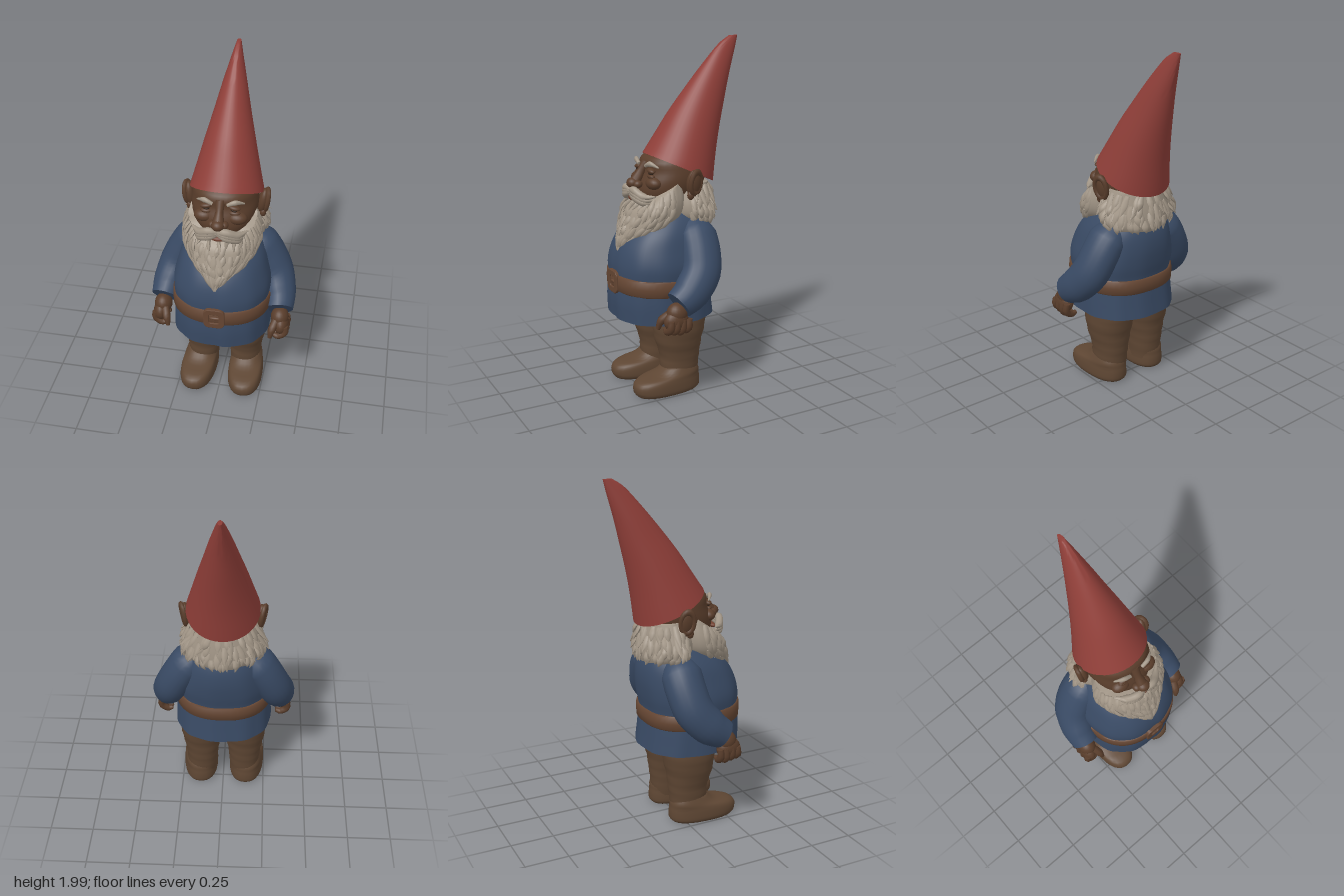
import * as THREE from 'three';
import { mergeGeometries, toCreasedNormals } from 'three/addons/utils/BufferGeometryUtils.js';

const V = (x, y, z) => new THREE.Vector3(x, y, z);
const material = (name, color) => Object.assign(new THREE.MeshStandardMaterial({ color }), { name });

// Closed skin over a stack of rings, with a fan at both ends
function skin(rings) {
  const n = rings[0].length, m = rings.length, pos = [], idx = [];
  rings.flat().forEach(p => pos.push(p.x, p.y, p.z));
  for (let i = 0; i < m - 1; i++) for (let j = 0; j < n; j++) {
    const a = i * n + j, b = i * n + (j + 1) % n;
    idx.push(a, b, b + n, a, b + n, a + n);
  }
  [0, m - 1].forEach((r, k) => {
    const c = V(0, 0, 0);
    rings[r].forEach(p => c.addScaledVector(p, 1 / n));
    pos.push(c.x, c.y, c.z);
    for (let j = 0; j < n; j++) {
      const a = r * n + j, b = r * n + (j + 1) % n;
      idx.push(m * n + k, ...(k ? [a, b] : [b, a]));
    }
  });
  const g = new THREE.BufferGeometry();
  g.setAttribute('position', new THREE.Float32BufferAttribute(pos, 3));
  g.setIndex(idx);
  return toCreasedNormals(g, 1);
}

// Surface through sections [frontZ, frontY, backZ, backY, halfWidth], listed upwards;
// angle 0 is the front and grows towards +x
function surface(sections, power = 2, cx = 0) {
  const front = new THREE.CatmullRomCurve3(sections.map(s => V(s[4], s[1], s[0])), false, 'catmullrom');
  const back = new THREE.CatmullRomCurve3(sections.map(s => V(0, s[3], s[2])), false, 'catmullrom');
  const round = v => Math.sign(v) * Math.abs(v) ** (2 / power);
  return (t, a, out = 1) => {
    const f = front.getPoint(t), b = back.getPoint(t), c = round(Math.cos(a)) * out;
    return V(cx + f.x * round(Math.sin(a)) * out,
      (f.y + b.y) / 2 + (f.y - b.y) / 2 * c, (f.z + b.z) / 2 + (f.z - b.z) / 2 * c);
  };
}
function loft(surf, steps = 20, sides = 36, fold = () => 1) {
  return skin(Array.from({ length: steps + 1 }, (_, i) => Array.from({ length: sides }, (_, j) => {
    const a = j / sides * Math.PI * 2;
    return surf(i / steps, a, fold(a, i / steps));
  })));
}

// Tapered tube through points [x, y, z, halfWidth, halfThickness]
function limb(points, out = V(0, 0, 1), steps = 12, sides = 12) {
  const curve = new THREE.CatmullRomCurve3(points.map(p => V(p[0], p[1], p[2])), false, 'catmullrom');
  const rings = [];
  for (let i = 0; i <= steps; i++) {
    const t = i / steps, k = Math.min(Math.floor(t * (points.length - 1)), points.length - 2);
    const f = t * (points.length - 1) - k;
    const w = THREE.MathUtils.lerp(points[k][3], points[k + 1][3], f);
    const h = THREE.MathUtils.lerp(points[k][4], points[k + 1][4], f);
    const T = curve.getTangent(t), U = V(0, 0, 0).crossVectors(out, T).normalize();
    const N = V(0, 0, 0).crossVectors(T, U), c = curve.getPoint(t);
    rings.push(Array.from({ length: sides }, (_, j) => {
      const a = j / sides * Math.PI * 2;
      return c.clone().addScaledVector(U, Math.cos(a) * w).addScaledVector(N, Math.sin(a) * h);
    }));
  }
  return skin(rings);
}

const ball = (x, y, z, rx, ry, rz, tilt = 0) =>
  new THREE.SphereGeometry(1, 20, 14).scale(rx, ry, rz).rotateZ(tilt).translate(x, y, z);

let seed = 7;
const rand = () => (seed = (seed * 16807) % 2147483647) / 2147483647;

// Rows of pointed locks lying on a surface and running down it
function locks(surf, rows, count, from, to, length, flare, width) {
  const list = [];
  for (const t0 of rows) for (let i = 0; i < count; i++) {
    const a = THREE.MathUtils.lerp(from, to, (i + rand() * 0.8) / count), da = (rand() - 0.5) * 0.2;
    const len = length * (0.7 + rand() * 0.6);
    const p = [0, 0.5, 1].map(k => surf(Math.max(0, t0 - len * k), a + da * k, 0.98 + flare * k * (0.4 + rand() * 0.8)));
    const out = p[0].clone().sub(surf(t0, a, 0.5)).normalize();
    list.push(limb(p.map((q, k) => [q.x, q.y, q.z, [0.7, 1, 0.06][k] * width, [0.5, 0.6, 0.06][k] * width]), out, 5, 6));
  }
  return mergeGeometries(list);
}

// Rounded rectangle outline
function roundRect(path, w, h, r) {
  [[w - r, h - r], [r - w, h - r], [r - w, r - h], [w - r, r - h]].forEach(([x, y], i) =>
    path.absarc(x, y, r, i * Math.PI / 2, (i + 1) * Math.PI / 2));
  return path.closePath();
}

export function createModel() {
  const model = new THREE.Group();
  const red = material('red felt', 0x8e3e38), blue = material('blue cloth', 0x394a64);
  const brown = material('brown trousers', 0x5e4633), leather = material('belt leather', 0x644532);
  const flesh = material('skin', 0x593d2b), white = material('grey hair', 0xa19586);
  const lip = material('lips', 0x6f3f2e), dark = material('dark eyes', 0x33251c);
  const add = (name, mat, geo) => {
    const mesh = new THREE.Mesh(geo, mat);
    mesh.name = name;
    model.add(mesh);
    return mesh;
  };

  // Leaning pointed hat
  add('hat', red, loft(surface([
    [0.178, 1.37, -0.215, 1.19, 0.208], [0.1, 1.485, -0.24, 1.36, 0.17], [0.025, 1.595, -0.268, 1.5, 0.137],
    [-0.065, 1.71, -0.302, 1.64, 0.102], [-0.165, 1.83, -0.337, 1.78, 0.068],
    [-0.275, 1.95, -0.378, 1.92, 0.031], [-0.345, 1.998, -0.398, 1.998, 0.012]]), 24, 40));

  // Tunic with soft folds and a front opening
  const torso = surface([
    [0.385, 0.455, -0.195, 0.455, 0.284], [0.39, 0.56, -0.182, 0.56, 0.28], [0.382, 0.67, -0.172, 0.67, 0.274],
    [0.382, 0.77, -0.19, 0.77, 0.28], [0.355, 0.87, -0.2, 0.87, 0.258], [0.295, 0.96, -0.19, 0.96, 0.23],
    [0.2, 1.04, -0.155, 1.04, 0.18], [0.12, 1.11, -0.11, 1.11, 0.11]], 2.35);
  add('tunic', blue, loft(torso, 28, 72, (a, t) => {
    const gap = Math.min(a, Math.PI * 2 - a);
    return 1 + 0.009 * Math.sin(a * 11) * (1 - t) - 0.02 * Math.exp(-((gap / 0.06) ** 2));
  }));

  // Belt and buckle
  add('belt', leather, loft(surface([
    [0.375, 0.618, -0.168, 0.605, 0.272], [0.391, 0.625, -0.184, 0.61, 0.285],
    [0.391, 0.705, -0.184, 0.685, 0.285], [0.375, 0.712, -0.168, 0.69, 0.272]], 2.35), 6, 48));
  const plate = roundRect(new THREE.Shape(), 0.056, 0.06, 0.028);
  plate.holes.push(roundRect(new THREE.Path(), 0.032, 0.034, 0.014));
  add('buckle', leather, new THREE.ExtrudeGeometry(plate, {
    depth: 0.016, bevelSize: 0.004, bevelThickness: 0.004, bevelSegments: 2, curveSegments: 5
  }).translate(0, 0.667, 0.38));
  add('bucklePin', leather, ball(0.008, 0.667, 0.389, 0.036, 0.01, 0.01));

  // Seat of the trousers
  add('seat', brown, loft(surface([
    [0.14, 0.4, -0.06, 0.4, 0.16], [0.19, 0.425, -0.11, 0.425, 0.235], [0.2, 0.5, -0.12, 0.5, 0.24]], 2.3), 8));

  for (const s of [-1, 1]) {
    const side = s > 0 ? 'left' : 'right';

    // Trouser leg with a slightly baggy knee
    add(side + 'Leg', brown, loft(surface([
      [0.15, 0.07, -0.06, 0.07, 0.086], [0.155, 0.16, -0.07, 0.16, 0.094], [0.16, 0.23, -0.078, 0.23, 0.1],
      [0.185, 0.31, -0.088, 0.31, 0.117], [0.198, 0.4, -0.108, 0.4, 0.13], [0.2, 0.49, -0.115, 0.49, 0.127]], 2.2, s * 0.129),
      18, 24, (a, t) => 1 + 0.015 * Math.sin(t * 34 + a)));

    // Rounded boot, toe turned out a little
    const boot = add(side + 'Boot', brown, loft(surface([
      [0.318, 0.008, -0.062, 0.008, 0.092], [0.334, 0.03, -0.075, 0.025, 0.104], [0.335, 0.072, -0.076, 0.065, 0.104],
      [0.3, 0.1, -0.072, 0.095, 0.1], [0.2, 0.12, -0.068, 0.125, 0.094], [0.14, 0.16, -0.05, 0.16, 0.08]], 2.4),
      16, 28));
    boot.position.x = s * 0.137;
    boot.rotation.y = s * 0.05;

    // Sleeve, bent at the elbow
    add(side + 'Sleeve', blue, limb([
      [s * 0.12, 1.0, -0.035, 0.06, 0.07], [s * 0.195, 0.925, -0.035, 0.1, 0.115], [s * 0.25, 0.84, -0.03, 0.1, 0.115],
      [s * 0.297, 0.74, -0.005, 0.1, 0.113], [s * 0.327, 0.65, 0.07, 0.095, 0.105],
      [s * 0.338, 0.592, 0.155, 0.08, 0.085]], V(0, 0.3, 1), 20, 20));

    // Hand with curled fingers
    const hand = [
      ball(s * 0.345, 0.55, 0.17, 0.052, 0.06, 0.06), ball(s * 0.355, 0.51, 0.18, 0.045, 0.062, 0.072)];
    for (let i = 0; i < 4; i++) {
      const z = 0.115 + i * 0.036, y = 0.446 + Math.abs(i - 1) * 0.006;
      hand.push(limb([[s * 0.38, 0.52, z, 0.02, 0.02], [s * 0.383, y + 0.02, z + 0.003, 0.021, 0.021],
        [s * 0.345, y - 0.008, z + 0.006, 0.02, 0.02], [s * 0.315, y, z + 0.006, 0.012, 0.012]], V(0, 0, 1), 8, 8));
    }
    hand.push(limb([[s * 0.33, 0.55, 0.2, 0.024, 0.024], [s * 0.31, 0.51, 0.248, 0.023, 0.023],
      [s * 0.3, 0.46, 0.265, 0.012, 0.012]], V(1, 0, 0), 8, 8));
    hand.forEach((g, i) => add(side + (i < 2 ? 'Palm' : i < 6 ? 'Finger' : 'Thumb'), flesh, g));

    // Ear: shell, rim and lobe
    add(side + 'Ear', flesh, ball(s * 0.206, 1.225, -0.008, 0.03, 0.078, 0.044, -s * 0.15));
    add(side + 'EarRim', flesh, new THREE.TorusGeometry(0.042, 0.014, 8, 20).scale(0.9, 1.45, 1)
      .rotateY(Math.PI / 2 + s * 0.3).rotateZ(-s * 0.15).translate(s * 0.222, 1.23, -0.012));
    add(side + 'EarLobe', flesh, ball(s * 0.208, 1.16, 0.012, 0.018, 0.026, 0.02));

    // Eye, lids, cheek, brow
    add(side + 'Eye', dark, ball(s * 0.077, 1.275, 0.188, 0.02, 0.009, 0.014));
    add(side + 'UpperLid', flesh, ball(s * 0.078, 1.29, 0.188, 0.034, 0.014, 0.02, -s * 0.15));
    add(side + 'LowerLid', flesh, ball(s * 0.078, 1.258, 0.189, 0.032, 0.013, 0.018));
    add(side + 'Cheek', flesh, ball(s * 0.092, 1.222, 0.18, 0.056, 0.036, 0.042));
    add(side + 'Brow', white, limb([[s * 0.04, 1.312, 0.203, 0.009, 0.011], [s * 0.085, 1.33, 0.198, 0.016, 0.013],
      [s * 0.13, 1.312, 0.168, 0.004, 0.004]], V(0, 0, 1), 8, 8));
    add(side + 'Nostril', flesh, ball(s * 0.032, 1.212, 0.246, 0.024, 0.022, 0.026));

    // Moustache made of overlapping strands
    for (let i = 0; i < 3; i++) add(side + 'Moustache', white, limb([
      [s * 0.004, 1.178 - i * 0.006, 0.266, 0.016, 0.02], [s * 0.05, 1.184 - i * 0.017, 0.279, 0.023, 0.022],
      [s * 0.105, 1.155 - i * 0.016, 0.248, 0.021, 0.022],
      [s * (0.155 - i * 0.012), 1.16 - i * 0.022, 0.2, 0.004, 0.004]], V(0, 0, 1), 12, 10));
  }

  // Head, nose and mouth
  add('head', flesh, loft(surface([
    [0.2, 1.08, -0.1, 1.08, 0.13], [0.23, 1.16, -0.14, 1.16, 0.168], [0.222, 1.22, -0.16, 1.22, 0.184],
    [0.198, 1.28, -0.17, 1.28, 0.184], [0.192, 1.34, -0.17, 1.34, 0.17], [0.12, 1.395, -0.15, 1.395, 0.13]], 2.15), 18));
  add('noseBridge', flesh, limb([[0, 1.33, 0.185, 0.026, 0.02], [0, 1.27, 0.215, 0.022, 0.025],
    [0, 1.22, 0.253, 0.034, 0.03]], V(0, 0, 1), 8, 12));
  add('noseTip', flesh, ball(0, 1.217, 0.263, 0.036, 0.03, 0.036));
  add('lowerLip', lip, ball(0, 1.132, 0.258, 0.045, 0.016, 0.026));

  // Beard body and layered locks
  const beard = surface([
    [0.364, 0.84, 0.28, 0.85, 0.02], [0.354, 0.9, 0.2, 0.91, 0.08], [0.337, 0.96, 0.08, 0.975, 0.155],
    [0.312, 1.02, -0.01, 1.045, 0.205], [0.287, 1.075, -0.03, 1.14, 0.216], [0.235, 1.115, -0.01, 1.285, 0.19]]);
  add('beard', white, loft(beard, 20, 48, a => 1 + 0.014 * Math.sin(a * 16)));
  add('beardLocks', white, locks(beard, [0.3, 0.48, 0.66, 0.84, 0.98], 15, -1.75, 1.75, 0.24, 0.07, 0.019));

  // Hair around the back of the head, fullest behind the ears
  const hair = surface([
    [0.05, 0.99, -0.18, 0.96, 0.165], [0.1, 1.04, -0.198, 1.01, 0.212], [0.11, 1.1, -0.198, 1.07, 0.218],
    [0.1, 1.17, -0.192, 1.13, 0.2], [0.08, 1.24, -0.18, 1.2, 0.178]], 1.9);
  add('hair', white, loft(hair, 14, 40, a => 1 + 0.016 * Math.sin(a * 13)));
  add('hairLocks', white, locks(hair, [0.4, 0.58, 0.76, 0.95], 18, 1.2, Math.PI * 2 - 1.2, 0.34, 0.22, 0.021));

  return model;
}
